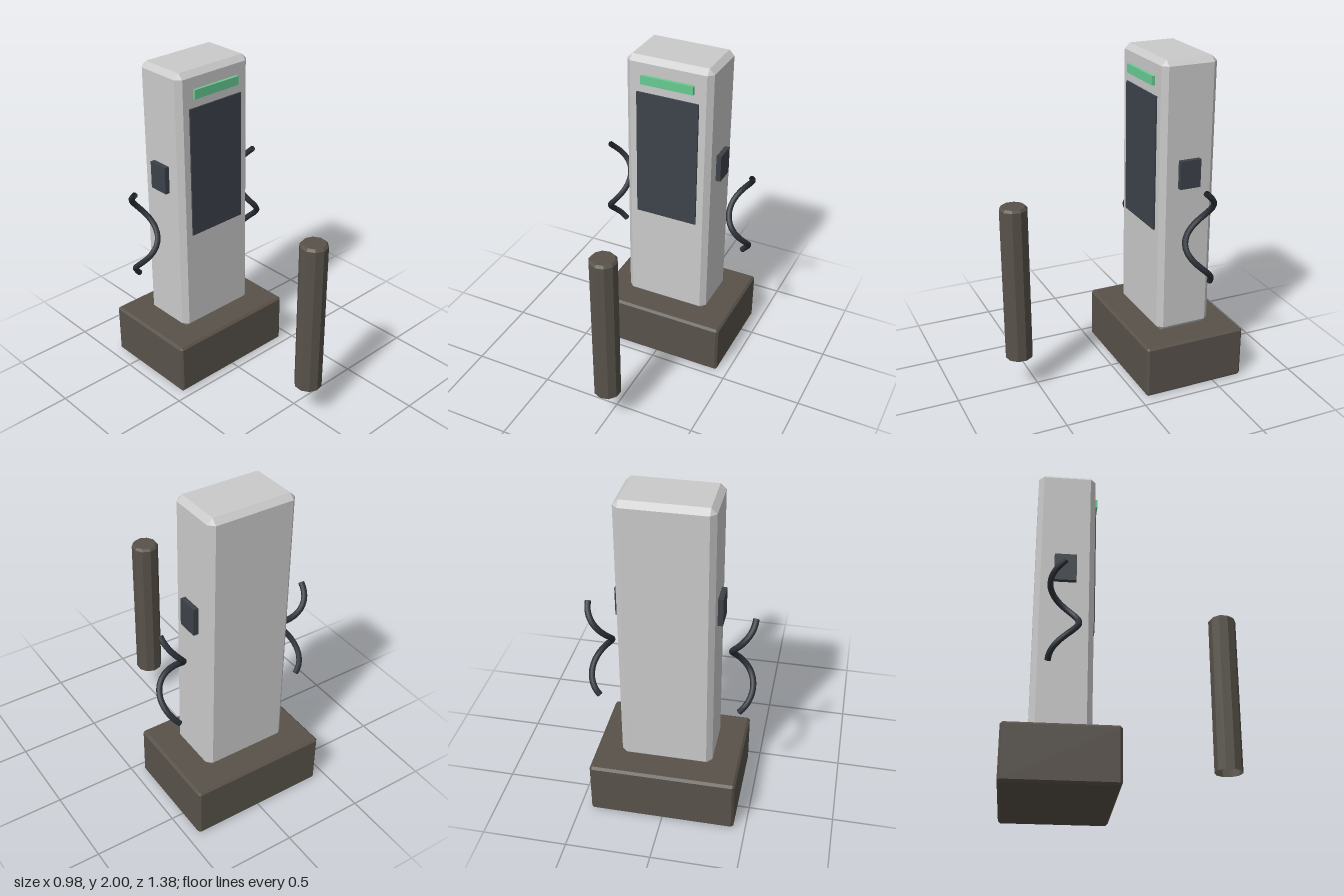
import * as THREE from 'three';
import { ConvexGeometry } from 'three/addons/geometries/ConvexGeometry.js';

const mat = (name, color, side = THREE.FrontSide) =>
  Object.assign(new THREE.MeshStandardMaterial({ color, side }), { name });

export function createModel() {
  const casing = mat('light grey casing', 0xcacaca);
  const stone = mat('brown grey base', 0x58524a, THREE.DoubleSide);
  const dark = mat('dark slate panel', 0x3d424a);
  const green = mat('green light', 0x68cb92);
  const rubber = mat('black cable', 0x2d3239, THREE.DoubleSide);

  const model = new THREE.Group();
  model.name = 'chargingStation';
  const add = (name, geometry, material) => {
    const mesh = new THREE.Mesh(geometry, material);
    mesh.name = name;
    model.add(mesh);
    return mesh;
  };

  // Box between two corners, optionally with every edge chamfered by c
  const block = (name, material, [x0, y0, z0], [x1, y1, z1], c = 0) => {
    const w = x1 - x0, h = y1 - y0, d = z1 - z0;
    let geometry = new THREE.BoxGeometry(w, h, d);
    if (c) {
      const points = [];
      for (const sx of [-1, 1]) for (const sy of [-1, 1]) for (const sz of [-1, 1])
        for (let full = 0; full < 3; full++) {
          const inset = (i) => (i === full ? 0 : c);
          points.push(new THREE.Vector3(
            sx * (w / 2 - inset(0)), sy * (h / 2 - inset(1)), sz * (d / 2 - inset(2))));
        }
      geometry = new ConvexGeometry(points);
    }
    add(name, geometry, material).position.set((x0 + x1) / 2, (y0 + y1) / 2, (z0 + z1) / 2);
  };

  // Plinth and cabinet
  block('plinth', stone, [-0.43, 0, -0.69], [0.43, 0.328, -0.045], 0.014);
  block('cabinet', casing, [-0.27, 0.326, -0.54], [0.27, 2, -0.193], 0.032);

  // Front screen and status light
  block('screen', dark, [-0.195, 0.98, -0.2], [0.195, 1.787, -0.184]);
  block('statusLight', green, [-0.164, 1.843, -0.2], [0.164, 1.897, -0.175]);

  // Plug holders and coiled cables, mirrored on both sides
  for (const side of [1, -1]) {
    const label = side > 0 ? 'left' : 'right';
    const xs = [side * 0.26, side * 0.3].sort((a, b) => a - b);
    block(label + 'PlugHolder', dark, [xs[0], 1.25, -0.43], [xs[1], 1.42, -0.3]);

    const path = [];
    for (let i = 0; i <= 20; i++) {
      const a = (i / 20) * Math.PI * 2.5;
      path.push(new THREE.Vector3(
        side * (0.41 + 0.063 * Math.cos(a)), 1.28 - 0.59 * (i / 20), -0.37 - 0.083 * Math.sin(a)));
    }
    add(label + 'Cable',
      new THREE.TubeGeometry(new THREE.CatmullRomCurve3(path), 30, 0.018, 8), rubber);
  }

  // Ten-sided bollard in front, open underneath
  const profile = [[0.083, 0.22], [0.083, 1.175], [0.07, 1.19], [0, 1.19]]
    .map(([r, y]) => new THREE.Vector2(r, y));
  const post = new THREE.LatheGeometry(profile, 10, -0.087).toNonIndexed();
  post.computeVertexNormals();
  add('bollard', post, stone).position.z = 0.608;

  return model;
}
